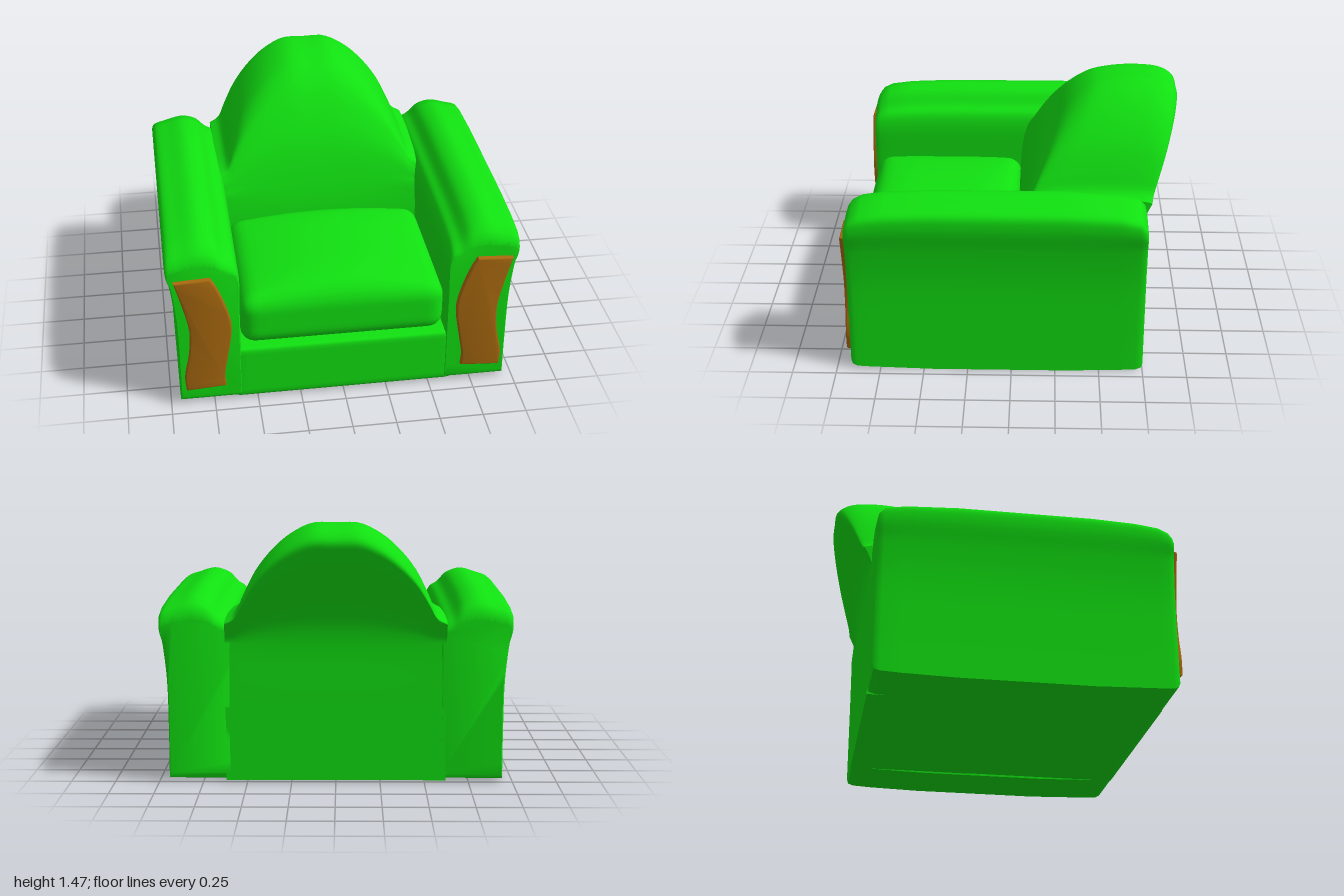
import * as THREE from 'three';
import { mergeVertices, toCreasedNormals } from 'three/addons/utils/BufferGeometryUtils.js';

const fabric = new THREE.MeshStandardMaterial({ color: 0x11e011 });
const wood = new THREE.MeshStandardMaterial({ color: 0xa8690f });

// Smooth open curve through a few points, returned as Vector3s
const smooth = (pts, n) =>
  new THREE.CatmullRomCurve3(pts.map(([x, y, z = 0]) => new THREE.Vector3(x, y, z))).getPoints(n);

// Skin through counterclockwise rings stacked along +z, with flat end caps
function loft(rings) {
  const n = rings[0].length, pos = [], idx = [];
  for (const ring of rings) for (const p of ring) pos.push(...p);
  for (let i = 0; i < rings.length - 1; i++) {
    for (let j = 0; j < n; j++) {
      const a = i * n + j, b = i * n + (j + 1) % n;
      idx.push(a, b, b + n, a, b + n, a + n);
    }
  }
  const last = rings.length - 1;
  for (const r of [0, last]) {
    const flat = rings[r].map(([x, y]) => new THREE.Vector2(x, y));
    for (const [a, b, c] of THREE.ShapeUtils.triangulateShape(flat, [])) {
      const o = r * n;
      if (r === 0) idx.push(o + a, o + c, o + b);
      else idx.push(o + a, o + b, o + c);
    }
  }
  const g = new THREE.BufferGeometry();
  g.setAttribute('position', new THREE.Float32BufferAttribute(pos, 3));
  g.setIndex(idx);
  return toCreasedNormals(g, 0.9);
}

// Box with rounded edges and an optional crowned top
function softBox(w, h, d, r, crown = 0) {
  let g = new THREE.BoxGeometry(w, h, d, 32, 14, 28);
  const p = g.attributes.position, v = new THREE.Vector3(), c = new THREE.Vector3();
  const half = new THREE.Vector3(w / 2 - r, h / 2 - r, d / 2 - r);
  for (let i = 0; i < p.count; i++) {
    v.fromBufferAttribute(p, i);
    c.copy(v).clamp(half.clone().negate(), half);
    v.sub(c).setLength(r).add(c);
    const bulge = (1 - (2 * v.x / w) ** 2) * (1 - 0.7 * (2 * v.z / d) ** 4);
    v.y += crown * bulge * Math.max(0, v.y / h + 0.5) ** 2;
    p.setXYZ(i, v.x, v.y, v.z);
  }
  g.deleteAttribute('normal');
  g.deleteAttribute('uv');
  g = mergeVertices(g, 1e-4);
  g.computeVertexNormals();
  return g;
}

// Arm: rolled cross-section, eased down and rounded off at both ends
function armGeometry(side) {
  const section = smooth([[0.945, 0], [0.945, 0.3], [0.95, 0.58], [0.97, 0.78], [0.993, 0.93],
    [0.98, 1.0], [0.9, 1.035], [0.8, 1.062], [0.72, 1.035], [0.66, 0.965], [0.61, 0.925],
    [0.588, 0.85], [0.588, 0.6], [0.588, 0]], 70);
  // z, height of the roll, width, lift of the underside
  const stations = [[-0.75, 0.5, 0.95, 0.05], [-0.742, 0.66, 0.985, 0.025], [-0.71, 0.82, 1, 0.014],
    [-0.6, 0.93, 1, 0.008], [-0.3, 1, 1, 0], [0.45, 1, 1, 0], [0.7, 0.95, 1, 0.008],
    [0.83, 0.87, 1, 0.012], [0.885, 0.75, 0.995, 0.016], [0.908, 0.62, 0.98, 0.028], [0.918, 0.5, 0.95, 0.05]];
  return loft(stations.map(([z, s, w, lift]) => {
    const ring = section.map(({ x, y }) => [
      side * (0.77 + (x - 0.77) * w),
      Math.max(lift, y > 0.8 ? 0.8 + (y - 0.8) * s : y), z]);
    return side > 0 ? ring : ring.reverse();
  }));
}

// Backrest: leaning side profile that shrinks towards the arms under a domed crest
function backGeometry() {
  // distance backwards, height, where the point sits when the crest is low
  const profile = smooth([[0.75, 0.01, 0.75], [0.75, 0.5, 0.75], [0.75, 0.82, 0.75], [0.775, 0.95, 0.75],
    [0.85, 1.13, 0.75], [0.925, 1.3, 0.75], [0.945, 1.38, 0.75], [0.88, 1.44, 0.7], [0.72, 1.465, 0.55],
    [0.52, 1.447, 0.3], [0.42, 1.41, 0.15], [0.32, 1.33, 0.06], [0.22, 1.2, 0.05], [0.14, 1.06, 0.05],
    [0.07, 0.85, 0.05], [0.03, 0.65, 0.03], [0.02, 0.3, 0.02], [0.02, 0.01, 0.02]], 80);
  const crest = smooth([[0, 1.465], [0.13, 1.463], [0.25, 1.405], [0.35, 1.32], [0.45, 1.195],
    [0.52, 1.06], [0.565, 0.965], [0.62, 0.93]], 24);
  const stations = [...crest.slice(1).reverse().map(({ x, y }) => [-x, y]), ...crest.map(({ x, y }) => [x, y])];
  const rings = stations.map(([x, top]) => {
    const k = (top - 0.8) / 0.665;
    return profile.map(p => [p.z + (p.x - p.z) * k, p.y > 0.8 ? 0.8 + (p.y - 0.8) * k : p.y, x]);
  });
  return loft(rings).rotateY(Math.PI / 2);
}

// Curved wooden facing on the front of an arm
function facingGeometry(side) {
  const outer = smooth([[0.905, 0.115], [0.91, 0.2], [0.88, 0.36], [0.872, 0.52], [0.9, 0.67], [0.945, 0.845]], 20);
  const inner = smooth([[0.75, 0.855], [0.72, 0.8], [0.66, 0.63], [0.643, 0.52], [0.67, 0.33], [0.69, 0.2], [0.685, 0.13]], 20);
  const pts = [...outer, ...inner].map(({ x, y }) => new THREE.Vector2(side * x, y));
  const g = new THREE.ExtrudeGeometry(new THREE.Shape(pts), {
    depth: 0.04, bevelEnabled: true, bevelThickness: 0.012, bevelSize: 0.01, bevelOffset: -0.006, bevelSegments: 3 });
  g.translate(0, 0, 0.893);
  return toCreasedNormals(g, 0.7);
}

export function createModel() {
  const chair = new THREE.Group();
  chair.name = 'armchair';
  const add = (name, geometry, material, x = 0, y = 0, z = 0) => {
    const mesh = new THREE.Mesh(geometry, material);
    mesh.name = name;
    mesh.position.set(x, y, z);
    chair.add(mesh);
  };
  add('base', softBox(1.28, 0.34, 1.655, 0.025), fabric, 0, 0.182, 0.0855);
  add('backrest', backGeometry(), fabric);
  add('seatCushion', softBox(1.168, 0.3, 0.92, 0.085, 0.085), fabric, 0, 0.495, 0.43);
  for (const [label, side] of [['left', 1], ['right', -1]]) {
    add(label + 'Arm', armGeometry(side), fabric);
    add(label + 'ArmFacing', facingGeometry(side), wood);
  }
  return chair;
}
